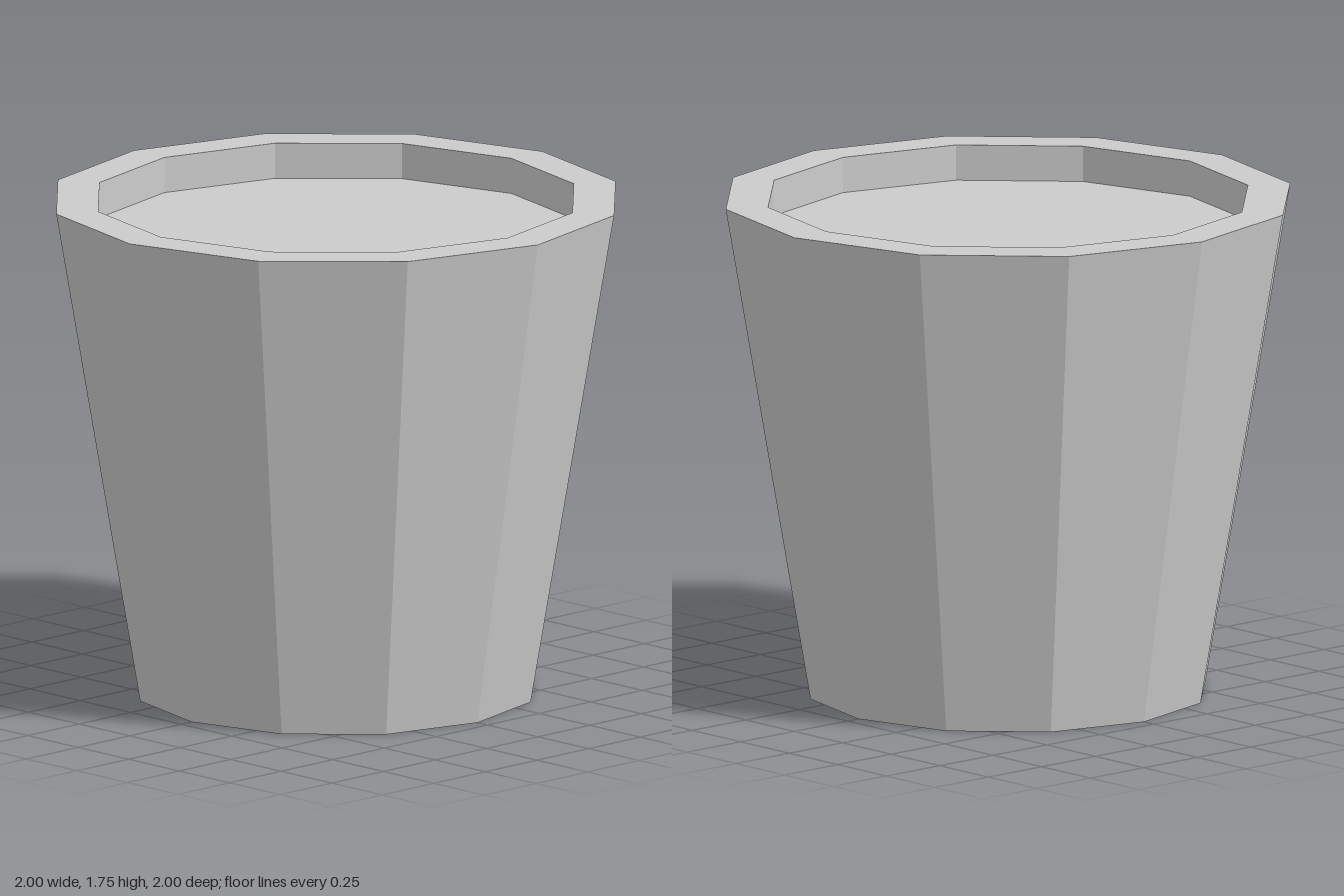
import * as THREE from 'three';

const SIDES = 12;
const HEIGHT = 1.75;
const FILL_Y = 1.625;
const INNER_R = 0.85;

export function createModel() {
  const group = new THREE.Group();
  group.name = 'plantPot';
  const material = new THREE.MeshStandardMaterial({ color: 0xcccccc, flatShading: true });

  // Pot: closed base, tapered wall, flat rim and straight inner lip
  const profile = [
    [0, 0], [0.7, 0], [1, HEIGHT], [INNER_R, HEIGHT], [INNER_R, FILL_Y],
  ].map(([r, y]) => new THREE.Vector2(r, y));
  const pot = new THREE.Mesh(new THREE.LatheGeometry(profile, SIDES), material);
  pot.name = 'pot';
  group.add(pot);

  // Soil: flat surface just below the rim
  const soil = new THREE.Mesh(new THREE.CircleGeometry(INNER_R, SIDES), material);
  soil.name = 'soil';
  soil.rotation.x = -Math.PI / 2;
  soil.position.y = FILL_Y;
  group.add(soil);

  return group;
}
